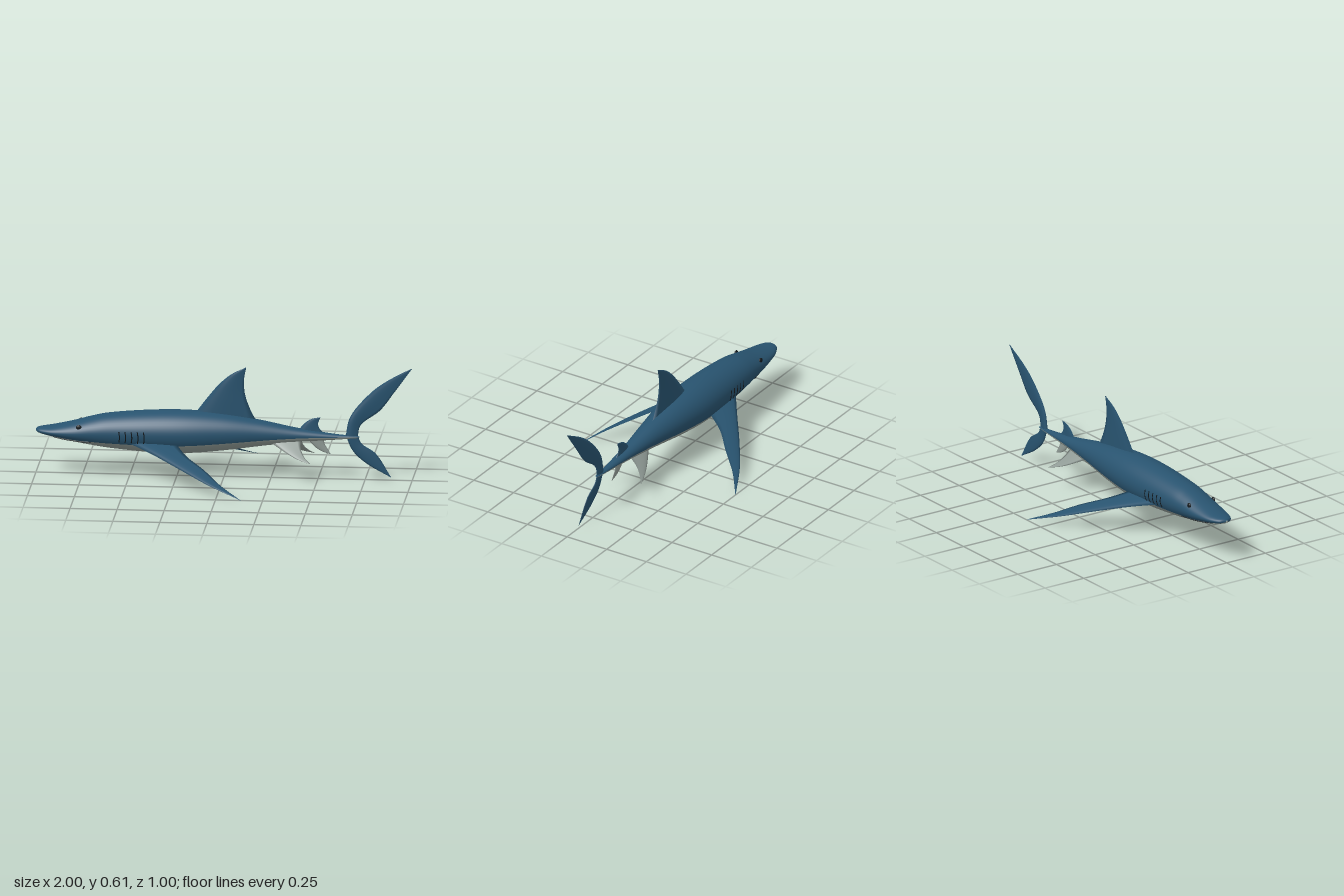
import * as THREE from 'three';

const mat = (name, color) => Object.assign(new THREE.MeshStandardMaterial({ color }), { name });

// body stations: x, top y, bottom y, half width, height of the colour line (-1 belly .. 1 back)
const STATIONS = [
  [-1, 0.24, 0.23, 0.006, -0.5],
  [-0.985, 0.249, 0.22, 0.036, -0.55],
  [-0.95, 0.255, 0.211, 0.057, -0.6],
  [-0.9, 0.263, 0.2, 0.073, -0.62],
  [-0.8, 0.286, 0.178, 0.089, -0.62],
  [-0.7, 0.314, 0.16, 0.099, -0.58],
  [-0.6, 0.334, 0.146, 0.108, -0.55],
  [-0.4, 0.352, 0.129, 0.119, -0.5],
  [-0.2, 0.357, 0.127, 0.119, -0.48],
  [0, 0.343, 0.146, 0.1, -0.45],
  [0.2, 0.311, 0.174, 0.07, -0.4],
  [0.4, 0.272, 0.199, 0.042, -0.25],
  [0.6, 0.245, 0.216, 0.02, 0],
  [0.7, 0.238, 0.225, 0.01, 0.1],
  [0.72, 0.234, 0.229, 0.003, 0.1],
];
const columns = [1, 2, 3, 4].map(
  (k) => new THREE.SplineCurve(STATIONS.map((s) => new THREE.Vector2(s[0], s[k]))));

function station(t) {
  const [top, bottom, width, line] = columns.map((c) => c.getPoint(t).y);
  return { x: columns[0].getPoint(t).x, mid: (top + bottom) / 2, h: (top - bottom) / 2, w: width, line };
}

function stationAt(x) {
  let lo = 0, hi = 1;
  for (let i = 0; i < 30; i++) {
    const m = (lo + hi) / 2;
    if (columns[0].getPoint(m).x < x) lo = m; else hi = m;
  }
  return station(lo);
}

// point on the body skin at angle a (0 = model side +z, PI/2 = back)
const skin = (s, a) => new THREE.Vector3(s.x, s.mid + s.h * Math.sin(a), s.w * Math.cos(a));

// skin over closed rings; the first `split` columns use material 0, the rest material 1
function loft(rings, split) {
  const m = rings[0].length;
  const pts = rings.flat();
  const centre = rings[0].reduce((c, p) => c.add(p), new THREE.Vector3()).divideScalar(m);
  const index = [];
  for (let j = 0; j < m; j++) {
    for (let i = 0; i < rings.length - 1; i++) {
      const a = i * m + j, b = i * m + ((j + 1) % m);
      index.push(a, b, a + m, b, b + m, a + m);
    }
  }
  // turn all faces outward
  let volume = 0;
  for (let i = 0; i < index.length; i += 3) {
    const [a, b, c] = [0, 1, 2].map((k) => pts[index[i + k]].clone().sub(centre));
    volume += a.dot(b.cross(c));
  }
  if (volume < 0) {
    for (let i = 0; i < index.length; i += 3) [index[i], index[i + 1]] = [index[i + 1], index[i]];
  }
  const g = new THREE.BufferGeometry().setFromPoints(pts);
  g.setIndex(index);
  if (split) {
    const n = split * (rings.length - 1) * 6;
    g.addGroup(0, n, 0);
    g.addGroup(n, index.length - n, 1);
  }
  g.computeVertexNormals();
  return g;
}

function bodyGeometry() {
  const upper = 32, lower = 20, rings = [];
  for (let i = 0; i <= 100; i++) {
    const s = station(i / 100), a0 = Math.asin(s.line), ring = [];
    for (let j = 0; j < upper; j++) ring.push(skin(s, a0 + (Math.PI - 2 * a0) * j / upper));
    for (let j = 0; j < lower; j++) ring.push(skin(s, Math.PI - a0 + (Math.PI + 2 * a0) * j / lower));
    rings.push(ring);
  }
  return loft(rings, upper);
}

// fin with a lens section between a leading and a trailing edge, root first
function finGeometry(lead, trail, normal, thickness) {
  const curve = (p) => new THREE.CatmullRomCurve3(p.map((q) => new THREE.Vector3(...q)));
  const A = curve(lead), B = curve(trail), n = new THREE.Vector3(...normal).normalize();
  const rings = [], steps = 24, half = 8;
  for (let i = 0; i <= steps; i++) {
    const t = i / steps, a = A.getPoint(t), b = B.getPoint(t), ring = [];
    for (let j = 0; j < half * 2; j++) {
      const up = j < half, u = up ? j / half : 2 - j / half;
      const d = thickness * (1 - 0.9 * t) * Math.sin(Math.PI * Math.pow(u, 0.7));
      ring.push(a.clone().lerp(b, u).addScaledVector(n, up ? d : -d));
    }
    rings.push(ring);
  }
  return loft(rings);
}

export function createModel() {
  const blue = mat('back blue', 0x28536f);
  const grey = mat('belly grey', 0x8f9a95);
  const dark = mat('dark detail', 0x12181c);
  const model = new THREE.Group();
  const add = (name, geometry, material) => {
    const mesh = new THREE.Mesh(geometry, material);
    mesh.name = name;
    model.add(mesh);
    return mesh;
  };

  add('body', bodyGeometry(), [blue, grey]);

  // upright fins in the middle plane
  const flat = (p) => p.map(([x, y]) => [x, y, 0]);
  const upright = (name, lead, trail, thickness, material) =>
    add(name, finGeometry(flat(lead), flat(trail), [0, 0, 1], thickness), material);
  upright('dorsalFin',
    [[-0.17, 0.32], [-0.08, 0.44], [-0.02, 0.51], [0.04, 0.56], [0.115, 0.598]],
    [[0.175, 0.3], [0.135, 0.38], [0.11, 0.46], [0.107, 0.54], [0.118, 0.596]], 0.012, blue);
  upright('secondDorsalFin',
    [[0.385, 0.25], [0.43, 0.302], [0.465, 0.325], [0.51, 0.335]],
    [[0.54, 0.24], [0.507, 0.275], [0.5, 0.3], [0.512, 0.333]], 0.007, blue);
  upright('upperTailFin',
    [[0.645, 0.225], [0.67, 0.34], [0.78, 0.475], [0.865, 0.54], [0.995, 0.612]],
    [[0.71, 0.225], [0.725, 0.295], [0.83, 0.38], [0.905, 0.48], [1, 0.612]], 0.01, blue);
  upright('lowerTailFin',
    [[0.645, 0.245], [0.685, 0.155], [0.755, 0.09], [0.885, 0.016]],
    [[0.71, 0.245], [0.73, 0.198], [0.805, 0.145], [0.888, 0.016]], 0.008, blue);
  upright('analFin',
    [[0.44, 0.22], [0.485, 0.172], [0.52, 0.15], [0.565, 0.135]],
    [[0.53, 0.22], [0.535, 0.19], [0.55, 0.165], [0.567, 0.136]], 0.006, grey);

  for (const side of [1, -1]) {
    const label = side > 0 ? 'front' : 'rear';
    const mirror = (p) => p.map(([x, y, z]) => [x, y, z * side]);
    const paired = (name, lead, trail, normal, thickness, material) => add(label + name,
      finGeometry(mirror(lead), mirror(trail), mirror([normal])[0], thickness), material);
    paired('PectoralFin',
      [[-0.51, 0.197, 0.085], [-0.37, 0.161, 0.185], [-0.2, 0.107, 0.31], [-0.05, 0.056, 0.41], [0.13, 0.001, 0.5]],
      [[-0.25, 0.197, 0.085], [-0.18, 0.155, 0.2], [-0.08, 0.11, 0.3], [0.015, 0.056, 0.405], [0.133, 0.001, 0.5]],
      [0, 0.92, 0.4], 0.009, blue);
    paired('PelvicFin',
      [[0.25, 0.2, 0.03], [0.335, 0.155, 0.075], [0.4, 0.127, 0.102], [0.467, 0.108, 0.122]],
      [[0.41, 0.21, 0.02], [0.415, 0.17, 0.06], [0.437, 0.135, 0.094], [0.47, 0.108, 0.122]],
      [0, 0.71, 0.71], 0.005, grey);

    // eye
    const head = stationAt(-0.765);
    const a = Math.asin((0.268 - head.mid) / head.h);
    const eye = add(label + 'Eye', new THREE.SphereGeometry(0.015, 20, 14), dark);
    eye.position.copy(skin(head, a));
    eye.position.z *= side;
    eye.scale.z = 0.5;

    // gill slits
    for (let k = 0; k < 5; k++) {
      const s = stationAt(-0.55 + k * 0.033), path = [];
      for (let i = 0; i <= 4; i++) {
        const p = skin(s, -0.42 + i * 0.15);
        path.push(new THREE.Vector3(p.x + 0.004 * Math.sin(i * 0.8), p.y, p.z * side));
      }
      add(label + 'GillSlit', new THREE.TubeGeometry(new THREE.CatmullRomCurve3(path), 12, 0.0028, 6), dark);
    }
  }

  // mouth line curving round under the snout
  const mouth = [];
  for (let i = 0; i <= 20; i++) {
    const u = i / 10 - 1;
    const s = stationAt(-0.91 + 0.21 * u * u);
    mouth.push(skin(s, -Math.PI / 2 + Math.sign(u) * Math.pow(Math.abs(u), 0.6) * 0.92));
  }
  add('mouth', new THREE.TubeGeometry(new THREE.CatmullRomCurve3(mouth), 60, 0.0035, 6), dark);

  return model;
}
